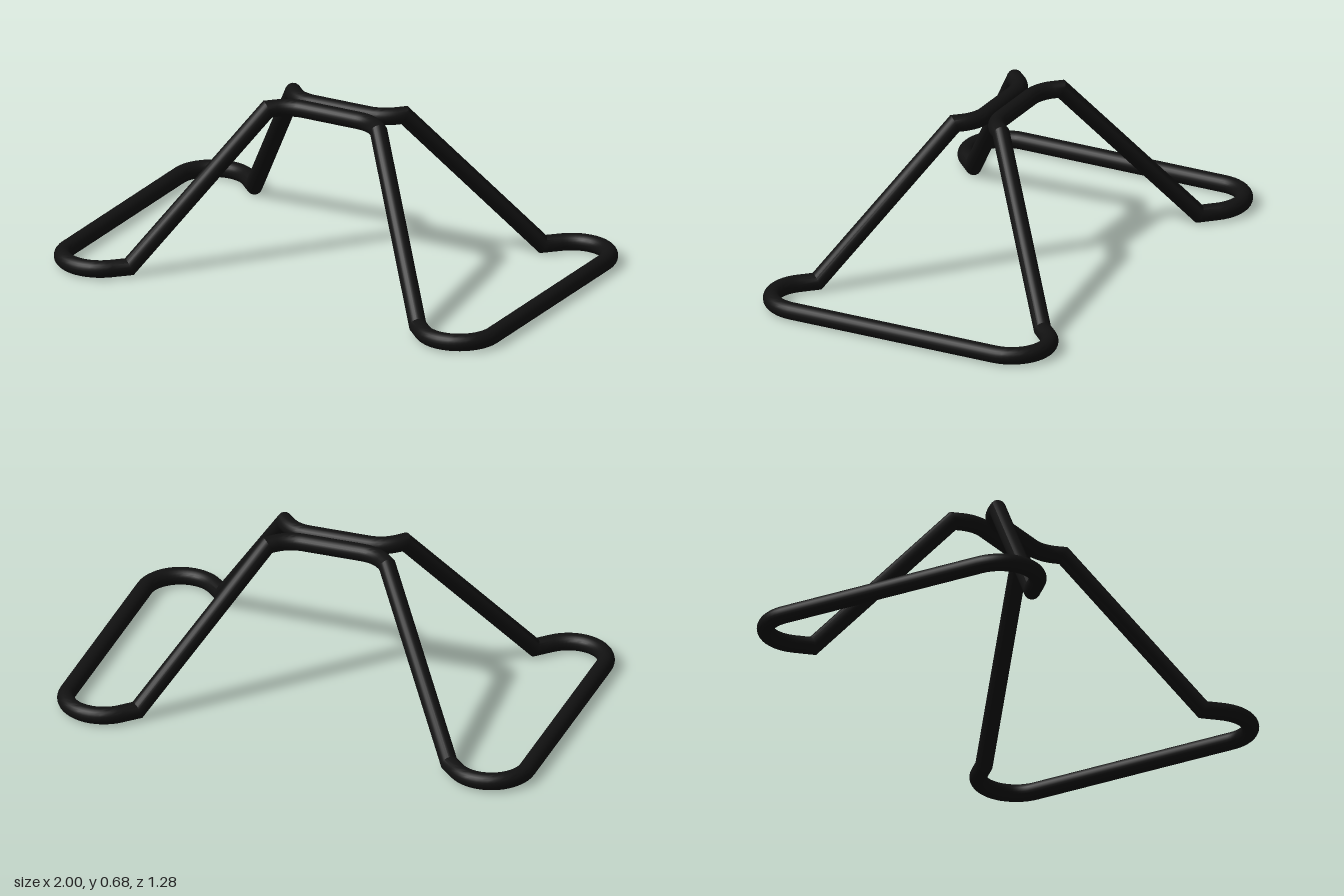
import * as THREE from 'three';
import { toCreasedNormals } from 'three/addons/utils/BufferGeometryUtils.js';

const R = 0.035, SIDES = 24, LOW = 0.035, HIGH = 0.645;

// Sweeps a round tube along a closed path with mitred joints (path never vertical)
function sweepClosed(points, radius) {
  const n = points.length, positions = [], index = [];
  const up = new THREE.Vector3(0, 1, 0);
  for (let i = 0; i < n; i++) {
    const p = points[i];
    const tIn = p.clone().sub(points[(i + n - 1) % n]).normalize();
    const tOut = points[(i + 1) % n].clone().sub(p).normalize();
    const mitre = tIn.clone().add(tOut).normalize();
    const side = up.clone().cross(tIn).normalize();
    const top = tIn.clone().cross(side);
    for (let j = 0; j < SIDES; j++) {
      const a = (j / SIDES) * Math.PI * 2;
      const o = side.clone().multiplyScalar(Math.cos(a) * radius).addScaledVector(top, Math.sin(a) * radius);
      // slide the corner along the incoming tube onto the mitre plane
      o.addScaledVector(tIn, -o.dot(mitre) / tIn.dot(mitre)).add(p);
      positions.push(o.x, o.y, o.z);
      const k = (j + 1) % SIDES, m = (i + 1) % n;
      const A = i * SIDES + j, B = i * SIDES + k, C = m * SIDES + j, D = m * SIDES + k;
      index.push(A, B, C, B, D, C);
    }
  }
  const g = new THREE.BufferGeometry();
  g.setAttribute('position', new THREE.Float32BufferAttribute(positions, 3));
  g.setIndex(index);
  return toCreasedNormals(g, 0.5);
}

// Points of a horizontal arc, angles in degrees
function arc(cx, cz, r, y, from, to, steps) {
  return Array.from({ length: steps + 1 }, (_, i) => {
    const a = THREE.MathUtils.degToRad(from + ((to - from) * i) / steps);
    return new THREE.Vector3(cx + r * Math.cos(a), y, cz + r * Math.sin(a));
  });
}

export function createModel() {
  const group = new THREE.Group();
  group.name = 'bentTubeFrame';

  // One quarter: foot corner, sloped leg, bend into the top bar
  const quarter = [
    ...arc(0.815, 0.455, 0.15, LOW, 0, 135, 18),
    new THREE.Vector3(0.655, LOW, 0.507),
    new THREE.Vector3(0.252, HIGH, 0.104),
    ...arc(0.123, 0.186, 0.15, HIGH, -45, -90, 8),
  ];
  const mirror = (sx, sz) => quarter.map((p) => new THREE.Vector3(p.x * sx, p.y, p.z * sz));

  // Four mirrored quarters make the closed loop
  const path = [
    ...mirror(1, 1),
    ...mirror(-1, 1).reverse(),
    ...mirror(-1, -1),
    ...mirror(1, -1).reverse(),
  ];
  const frame = new THREE.Mesh(
    sweepClosed(path, R),
    new THREE.MeshStandardMaterial({ color: 0x111111 })
  );
  frame.name = 'tubeFrame';
  group.add(frame);
  return group;
}
